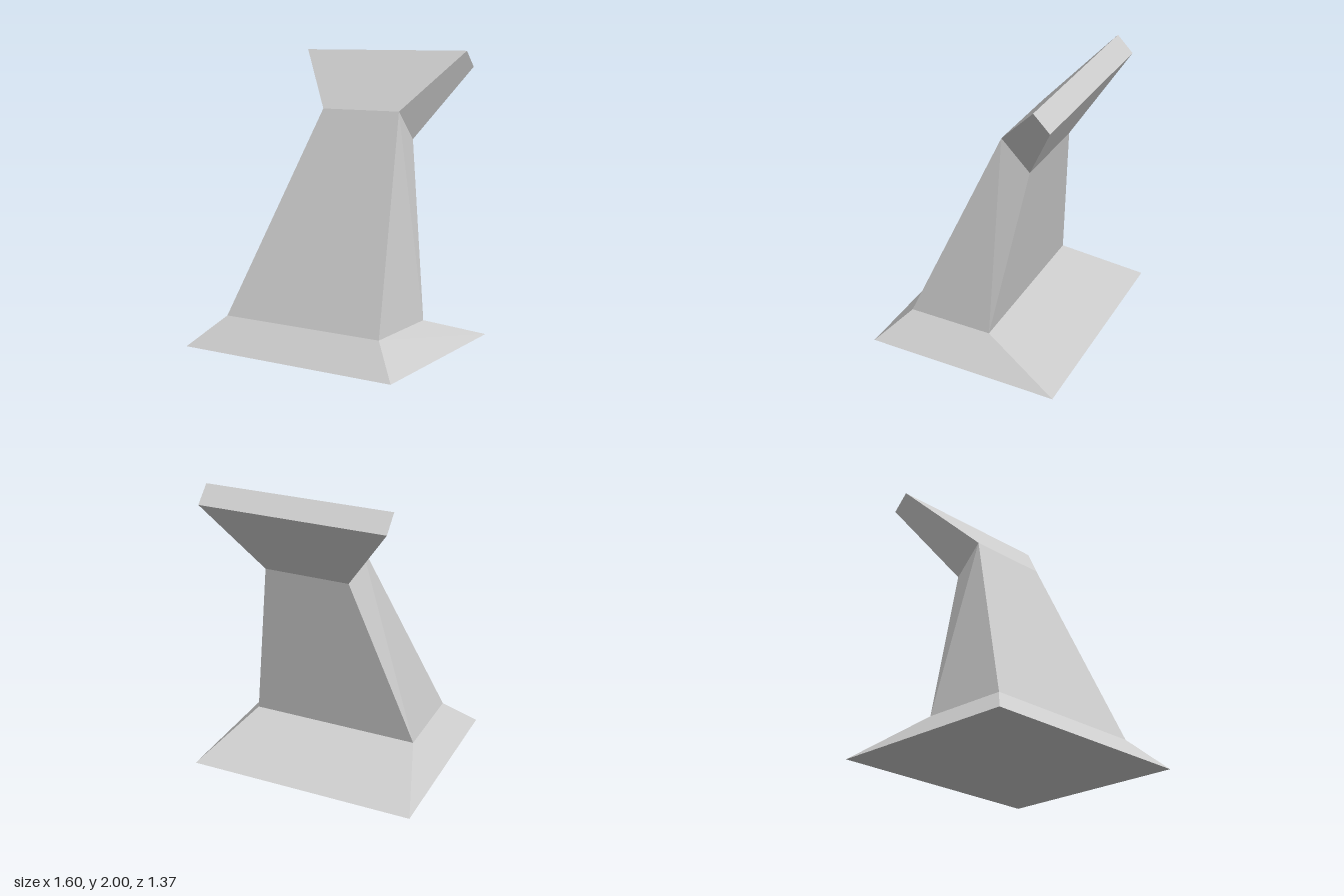
import * as THREE from 'three';

// Four-cornered section: front edge and back edge, each with its own height and depth
function section(x0, x1, [frontY, frontZ], [backY, backZ]) {
  return [
    [x0, frontY, frontZ],
    [x1, frontY, frontZ],
    [x1, backY, backZ],
    [x0, backY, backZ],
  ];
}

// Skin between two sections, with optional end caps
function loft(name, lower, upper, { bottom = false, top = false } = {}) {
  const pos = [];
  const tri = (...corners) => corners.forEach((c) => pos.push(...c));
  for (let i = 0; i < 4; i++) {
    const j = (i + 1) % 4;
    const [a, b, c, d] = [lower[i], lower[j], upper[j], upper[i]];
    // the twisted sides fold from the upper front corner to the lower back corner
    if (i === 3) { tri(a, b, c); tri(a, c, d); }
    else { tri(a, b, d); tri(b, c, d); }
  }
  if (bottom) { tri(lower[0], lower[2], lower[1]); tri(lower[0], lower[3], lower[2]); }
  if (top) { tri(upper[0], upper[1], upper[2]); tri(upper[0], upper[2], upper[3]); }

  const geometry = new THREE.BufferGeometry();
  geometry.setAttribute('position', new THREE.Float32BufferAttribute(pos, 3));
  geometry.computeVertexNormals();
  const material = new THREE.MeshStandardMaterial({ color: 0xcccccc, flatShading: true });
  const mesh = new THREE.Mesh(geometry, material);
  mesh.name = name;
  return mesh;
}

export function createModel() {
  const ground = section(-0.8, 0.8, [0, 0.685], [0, -0.685]);
  const foot = section(-0.6, 0.6, [0.2, 0.485], [0.2, -0.115]);
  const neck = section(-0.2, 0.4, [1.6, -0.115], [1.4, -0.315]);
  const crown = section(-0.57, 0.715, [2, -0.485], [1.89, -0.595]);

  const group = new THREE.Group();
  group.name = 'leaningPedestal';
  group.add(
    loft('base', ground, foot, { bottom: true }), // sloped plinth
    loft('column', foot, neck),                   // leaning, tapering shaft
    loft('head', neck, crown, { top: true }),     // flared, tilted top
  );
  return group;
}
